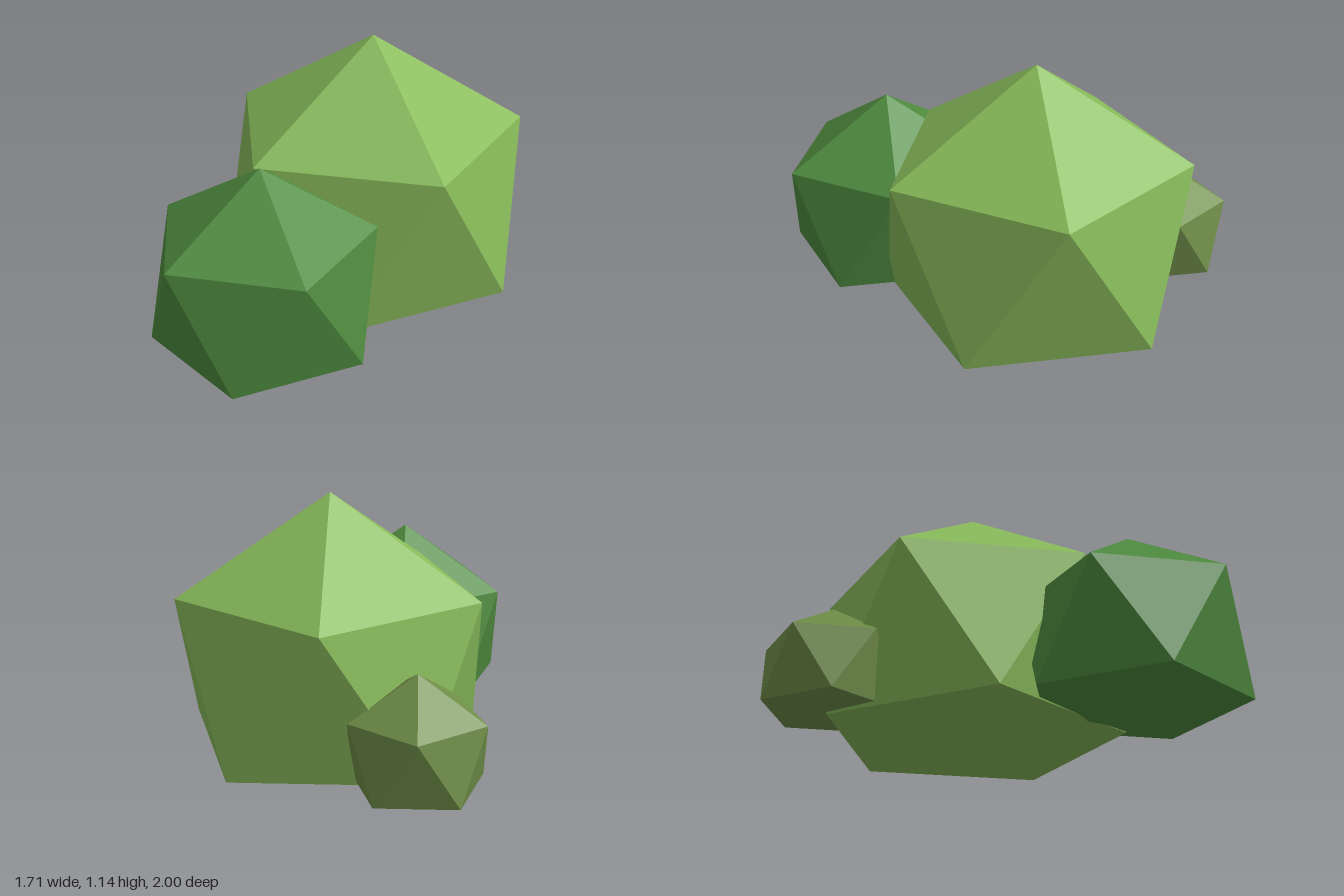
import * as THREE from 'three';

// Faceted leaf clump: an icosahedron standing on a vertex, its underside pressed almost flat
function clumpGeometry(radius, centerY, baseY) {
  const geo = new THREE.IcosahedronGeometry(radius, 0);
  geo.rotateX(-Math.atan((1 + Math.sqrt(5)) / 2)); // one vertex straight up
  geo.rotateY(Math.PI / 2); // an upper ring vertex towards +x
  geo.translate(0, centerY, 0);
  const pos = geo.attributes.position;
  const ringY = centerY - radius / Math.sqrt(5);
  for (let i = 0; i < pos.count; i++) {
    if (pos.getY(i) < ringY - radius * 0.1) pos.setY(i, baseY); // raise the bottom vertex
  }
  geo.computeVertexNormals();
  return geo;
}

export function createModel() {
  const group = new THREE.Group();
  group.name = 'bush';

  const clumps = [
    { name: 'largeClump', color: 0x88bb5a, colorName: 'light green', r: 0.771, at: [0.165, 0.375, -0.07], baseY: 0.002 },
    { name: 'frontClump', color: 0x4f8c3f, colorName: 'dark green', r: 0.541, at: [-0.372, 0.28, 0.537], baseY: 0.018 },
    { name: 'backClump', color: 0x6f8e48, colorName: 'olive green', r: 0.33, at: [-0.03, 0.197, -0.72], baseY: 0.038 },
  ];

  for (const { name, color, colorName, r, at, baseY } of clumps) {
    const material = new THREE.MeshStandardMaterial({ color, flatShading: true });
    material.name = colorName;
    const mesh = new THREE.Mesh(clumpGeometry(r, at[1], baseY), material);
    mesh.name = name;
    mesh.position.set(at[0], 0, at[2]);
    group.add(mesh);
  }
  return group;
}
